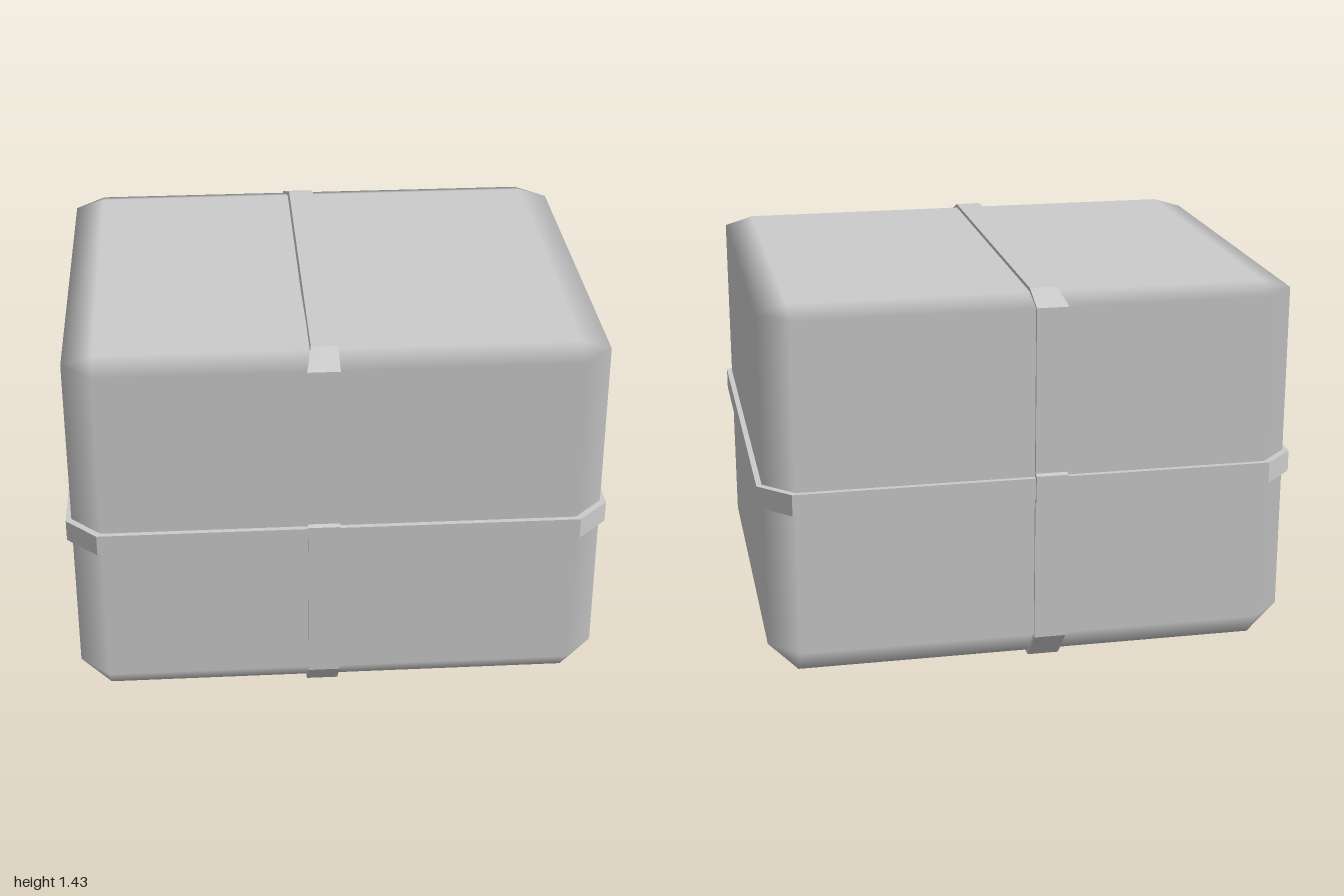
import * as THREE from 'three';
import { ConvexGeometry } from 'three/addons/geometries/ConvexGeometry.js';

const material = new THREE.MeshStandardMaterial({ color: 0xcccccc });

function addMesh(group, name, geometry) {
  const mesh = new THREE.Mesh(geometry, material);
  mesh.name = name;
  group.add(mesh);
}

// Bevelled box: flat faces keep their own normals, bevels blend between them
function bevelledBox() {
  const points = [];
  for (const x of [-1, 1]) for (const z of [-1, 1]) {
    for (const [faceY, sideY] of [[0.018, 0.13], [1.42, 1.387]]) {
      points.push(
        new THREE.Vector3(x * 0.98, sideY, z * 0.72),
        new THREE.Vector3(x * 0.87, sideY, z * 0.83),
        new THREE.Vector3(x * 0.87, faceY, z * 0.72)
      );
    }
  }
  const geometry = new ConvexGeometry(points);
  const pos = geometry.attributes.position;
  for (let i = 0; i < pos.count; i++) {
    const x = pos.getX(i), y = pos.getY(i), z = pos.getZ(i);
    if (Math.abs(x) > 0.95) geometry.attributes.normal.setXYZ(i, Math.sign(x), 0, 0);
    else if (Math.abs(z) > 0.8) geometry.attributes.normal.setXYZ(i, 0, 0, Math.sign(z));
    else geometry.attributes.normal.setXYZ(i, 0, Math.sign(y - 0.7), 0);
  }
  return geometry;
}

// Closed strap: mirrored half outline with a rectangular hole hidden in the box
function strap(half, hole, width) {
  const outline = [...half, ...half.slice().reverse().map(([a, b]) => [-a, b])];
  const shape = new THREE.Shape(outline.map(([a, b]) => new THREE.Vector2(a, b)));
  const [w, low, high] = hole;
  shape.holes.push(new THREE.Path(
    [[-w, low], [-w, high], [w, high], [w, low]].map(([a, b]) => new THREE.Vector2(a, b))
  ));
  return new THREE.ExtrudeGeometry(shape, { depth: width, bevelEnabled: false });
}

export function createModel() {
  const group = new THREE.Group();
  group.name = 'strappedBox';

  addMesh(group, 'box', bevelledBox());

  // Strap around the middle
  const middle = strap(
    [[0.885, -0.85], [1, -0.735], [1, 0.735], [0.885, 0.85]],
    [0.85, -0.7, 0.7], 0.08
  );
  middle.rotateX(-Math.PI / 2).translate(0, 0.675, 0);
  addMesh(group, 'horizontalStrap', middle);

  // Strap over top and bottom, stepping out where it crosses the other
  const upright = strap(
    [[0.725, 0], [0.842, 0.122], [0.842, 0.66], [0.86, 0.665], [0.86, 0.765],
      [0.842, 0.77], [0.842, 1.39], [0.725, 1.434]],
    [0.7, 0.1, 1.35], 0.118
  );
  upright.rotateY(-Math.PI / 2);
  // Slightly narrower across the top
  const pos = upright.attributes.position;
  for (let i = 0; i < pos.count; i++) {
    if (pos.getY(i) > 1.41 && pos.getX(i) < -0.06) pos.setX(i, -0.098);
  }
  upright.computeVertexNormals();
  addMesh(group, 'verticalStrap', upright);

  return group;
}
